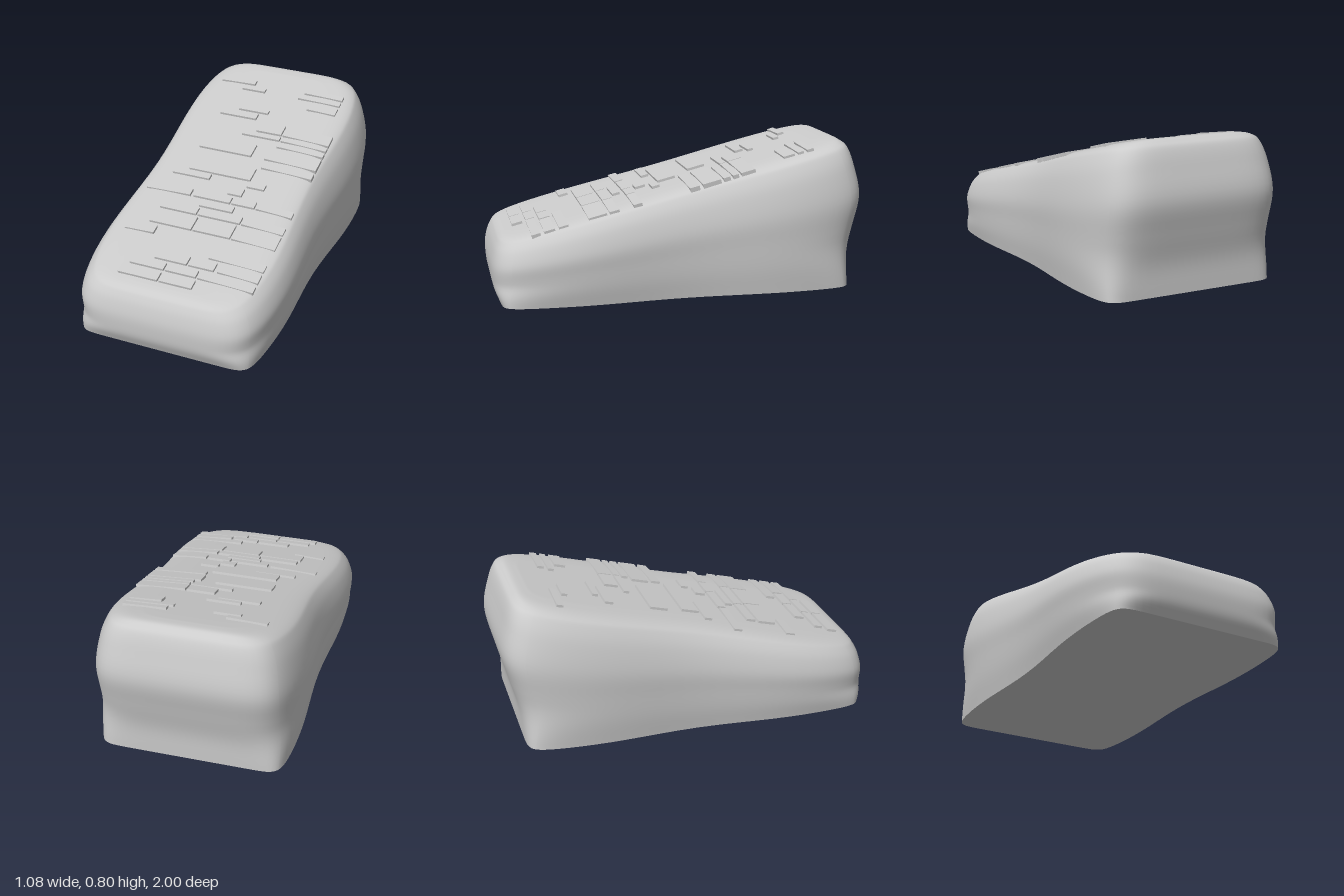
import * as THREE from 'three';

const SLOPE = 0.255;
const topAt = (z) => Math.min(0.583 - SLOPE * z, 0.86); // height of the sloping top
const baseAt = (z) => 0.01 - 0.009 * z; // slightly uneven footing
const halfWidthAt = (z) => 0.526 - 0.012 * Math.cos((Math.PI * z) / 0.55); // gentle waist

// Wall profile: height fraction, then inset of the sides, back and front
const PROFILE = [
  [0, 0.03, 0.085, 0.04], [0.2, 0.012, 0.075, 0.01], [0.4, 0.004, 0.035, 0],
  [0.6, 0, 0, 0], [0.8, 0.025, 0.03, 0.015], [0.92, 0.06, 0.06, 0.035],
  [0.965, 0.09, 0.09, 0.05], [0.99, 0.15, 0.12, 0.07], [1, 0.24, 0.18, 0.1],
];
const curveFor = (k) => new THREE.CatmullRomCurve3(
  PROFILE.map((p) => new THREE.Vector3(p[0], p[1], p[k])), false, 'catmullrom');
const backCurve = curveFor(2), frontCurve = curveFor(3);

// Unit rounded square, denser towards its corners
const SIDE = 28, N = SIDE * 4;
function plan(i, n) {
  const s = Math.sin((Math.PI / 2) * ((2 * (i % SIDE)) / SIDE - 1));
  const [u, w] = [[1, -s], [-s, -1], [-1, s], [s, 1]][Math.floor(i / SIDE)];
  const k = (Math.abs(u) ** n + Math.abs(w) ** n) ** (-1 / n);
  return [u * k, w * k];
}

// One ring of the body; t climbs the wall, shrink closes the top
function ring(t, shrink = 1) {
  const b = backCurve.getPoint(t), f = frontCurve.getPoint(t);
  const n = 7 + 9 * Math.max(0, 1 - b.x / 0.35) ** 2;
  const points = [];
  for (let i = 0; i < N; i++) {
    const [u, w] = plan(i, n);
    const z = w * (1 - (w < 0 ? b.z : f.z)) * shrink;
    const x = u * (halfWidthAt(z) - b.y) * shrink;
    const y0 = baseAt(z);
    points.push(x, y0 + Math.min(b.x, 1) * (topAt(z) - y0), z);
  }
  return points;
}

function loft(rings) {
  const index = [];
  for (let r = 0; r < rings.length - 1; r++) {
    for (let i = 0; i < N; i++) {
      const j = (i + 1) % N;
      const a = r * N + i, b = r * N + j, c = a + N, d = b + N;
      index.push(a, b, c, b, d, c);
    }
  }
  const geometry = new THREE.BufferGeometry();
  geometry.setAttribute('position', new THREE.Float32BufferAttribute(rings.flat(), 3));
  geometry.setIndex(index);
  geometry.computeVertexNormals();
  return geometry;
}

// Raised slats by row: front and back edge in z, then x spans
const ROWS = [
  [-0.715, -0.68, [-0.36, -0.15], [0.16, 0.39]],
  [-0.66, -0.63, [-0.21, -0.07], [0.14, 0.39]],
  [-0.61, -0.55, [0.22, 0.39]],
  [-0.485, -0.455, [-0.16, 0.02]],
  [-0.44, -0.395, [-0.25, -0.03]],
  [-0.38, -0.305, [0.01, 0.16], [0.17, 0.44]],
  [-0.29, -0.26, [-0.06, 0.165], [0.175, 0.44]],
  [-0.245, -0.21, [0.17, 0.44]],
  [-0.195, -0.1, [-0.25, 0.06], [0.14, 0.44]],
  [-0.08, -0.03, [0.15, 0.44]],
  [-0.015, 0.08, [-0.23, 0.13]],
  [0.09, 0.13, [-0.31, -0.09], [0.13, 0.23]],
  [0.15, 0.205, [0.05, 0.13]],
  [0.225, 0.27, [-0.4, -0.14], [-0.12, 0.09], [0.1, 0.23], [0.24, 0.44]],
  [0.29, 0.33, [-0.06, 0.13]],
  [0.345, 0.395, [-0.26, -0.05], [-0.04, 0.2], [0.21, 0.44]],
  [0.41, 0.505, [-0.27, -0.03], [-0.02, 0.19], [0.2, 0.44]],
  [0.53, 0.58, [-0.38, -0.21]],
  [0.61, 0.66, [0.14, 0.44]],
  [0.68, 0.735, [-0.13, 0.05], [0.06, 0.2], [0.22, 0.44]],
  [0.755, 0.8, [-0.24, -0.05], [-0.04, 0.13], [0.14, 0.44]],
  [0.82, 0.875, [-0.27, -0.05], [-0.04, 0.14]],
];
const crownDrop = (x) => 0.4 * Math.max(0, Math.abs(x) - 0.24) ** 2;

export function createModel() {
  const group = new THREE.Group();
  const material = new THREE.MeshStandardMaterial({ color: 0xcccccc });
  const add = (name, geometry, parent = group) => {
    const mesh = new THREE.Mesh(geometry, material);
    mesh.name = name;
    parent.add(mesh);
    return mesh;
  };

  // Bulging wedge: wall rings, then rings closing over the top
  const rings = [];
  for (let i = 0; i <= 40; i++) rings.push(ring(i / 40));
  for (let i = 1; i <= 12; i++) rings.push(ring(1, 1 - i / 12));
  add('wedgeBody', loft(rings));

  // Flat underside with a crisp edge
  add('underside', loft([ring(0, 0), ring(0)]));

  // Slats lying along the slope, tipped where the top rounds off
  const slats = new THREE.Group();
  slats.name = 'slats';
  group.add(slats);
  const pitch = Math.atan(SLOPE);
  for (const [z0, z1, ...spans] of ROWS) {
    for (const [x0, x1] of spans) {
      const z = (z0 + z1) / 2, d0 = crownDrop(x0), d1 = crownDrop(x1);
      const slat = add('slat', new THREE.BoxGeometry(x1 - x0, 0.026, (z1 - z0) / Math.cos(pitch)), slats);
      slat.position.set((x0 + x1) / 2, topAt(z) - (d0 + d1) / 2, z);
      slat.rotation.set(pitch, 0, Math.atan2(d0 - d1, x1 - x0));
    }
  }
  return group;
}
